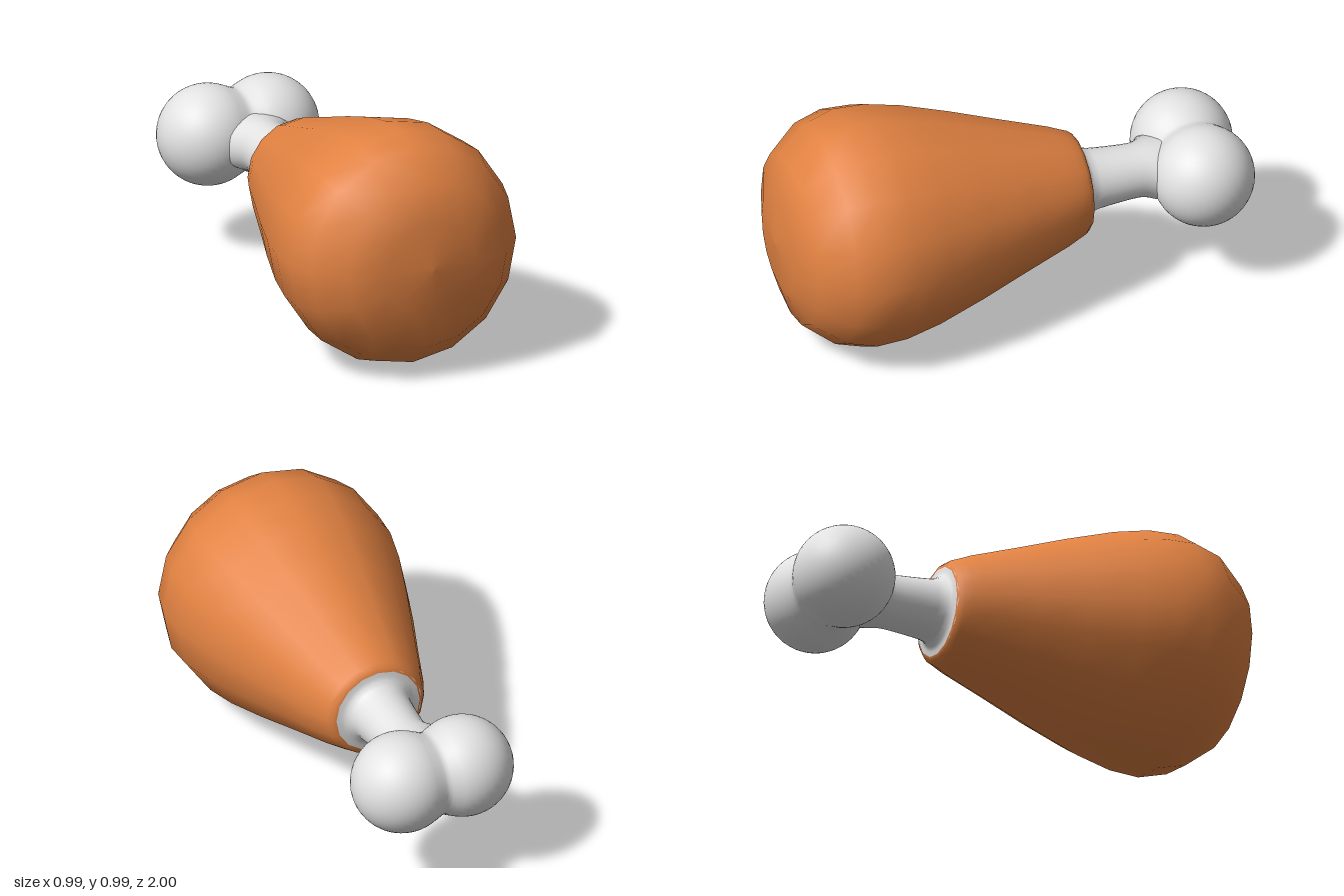
import * as THREE from 'three';

const meatMat = new THREE.MeshStandardMaterial({ color: 0xe28242 });
meatMat.name = 'roastedOrange';
const boneMat = new THREE.MeshStandardMaterial({ color: 0xe2e2e2 });
boneMat.name = 'boneWhite';

const CENTRE_Y = 0.5;
const KNOB_R = 0.208;
const KNOB_Z = -0.79;
const KNOB_MID_X = -0.012;
const KNOB_SPREAD = 0.135;

// Turned profile of [radius, position] pairs, lathed around y
function turned(profile, sides) {
  return new THREE.LatheGeometry(profile.map(([r, p]) => new THREE.Vector2(r, p)), sides);
}

function addPart(group, name, geometry, material, x, y, z) {
  const mesh = new THREE.Mesh(geometry, material);
  mesh.name = name;
  mesh.position.set(x, y, z);
  group.add(mesh);
}

export function createModel() {
  const group = new THREE.Group();
  group.name = 'drumstick';

  // Meat: sixteen-sided smooth pear shape, open where the bone enters
  const meat = turned([
    [0.185, -0.304], [0.2, -0.299], [0.216, -0.28], [0.228, -0.25], [0.25, -0.2],
    [0.32, 0], [0.392, 0.2], [0.457, 0.4], [0.491, 0.55], [0.497, 0.68],
    [0.462, 0.8], [0.357, 0.93], [0.2, 0.982], [0, 0.998],
  ], 16).rotateX(Math.PI / 2);
  addPart(group, 'meat', meat, meatMat, 0, CENTRE_Y, 0);

  // Bone shaft: flares into the meat, widens sideways into the knobs
  const shaft = turned([
    [0.1, -0.75], [0.11, -0.66], [0.112, -0.61], [0.112, -0.59], [0.112, -0.575],
    [0.112, -0.56], [0.112, -0.54], [0.113, -0.5], [0.119, -0.42], [0.125, -0.36],
    [0.133, -0.33], [0.148, -0.312], [0.165, -0.305], [0.19, -0.301],
  ], 32).rotateX(Math.PI / 2);
  const pos = shaft.attributes.position;
  for (let i = 0; i < pos.count; i++) {
    const t = THREE.MathUtils.clamp((-0.535 - pos.getZ(i)) / 0.06, 0, 1);
    pos.setX(i, pos.getX(i) * (1 + 0.5 * t * t));
  }
  addPart(group, 'boneShaft', shaft, boneMat, -0.003, CENTRE_Y, 0);

  // Pair of round knobs at the end of the bone
  for (const side of [-1, 1]) {
    addPart(group, side < 0 ? 'rightKnob' : 'leftKnob', new THREE.SphereGeometry(KNOB_R, 40, 28),
      boneMat, KNOB_MID_X + side * KNOB_SPREAD, CENTRE_Y, KNOB_Z);
  }

  // Soft saddle filling the crease between the knobs
  const saddle = turned([
    [0.194, -0.06], [0.182, -0.03], [0.175, -0.014], [0.172, 0],
    [0.175, 0.014], [0.182, 0.03], [0.194, 0.06],
  ], 40).rotateZ(-Math.PI / 2);
  addPart(group, 'knobSaddle', saddle, boneMat, KNOB_MID_X, CENTRE_Y, KNOB_Z);

  return group;
}
